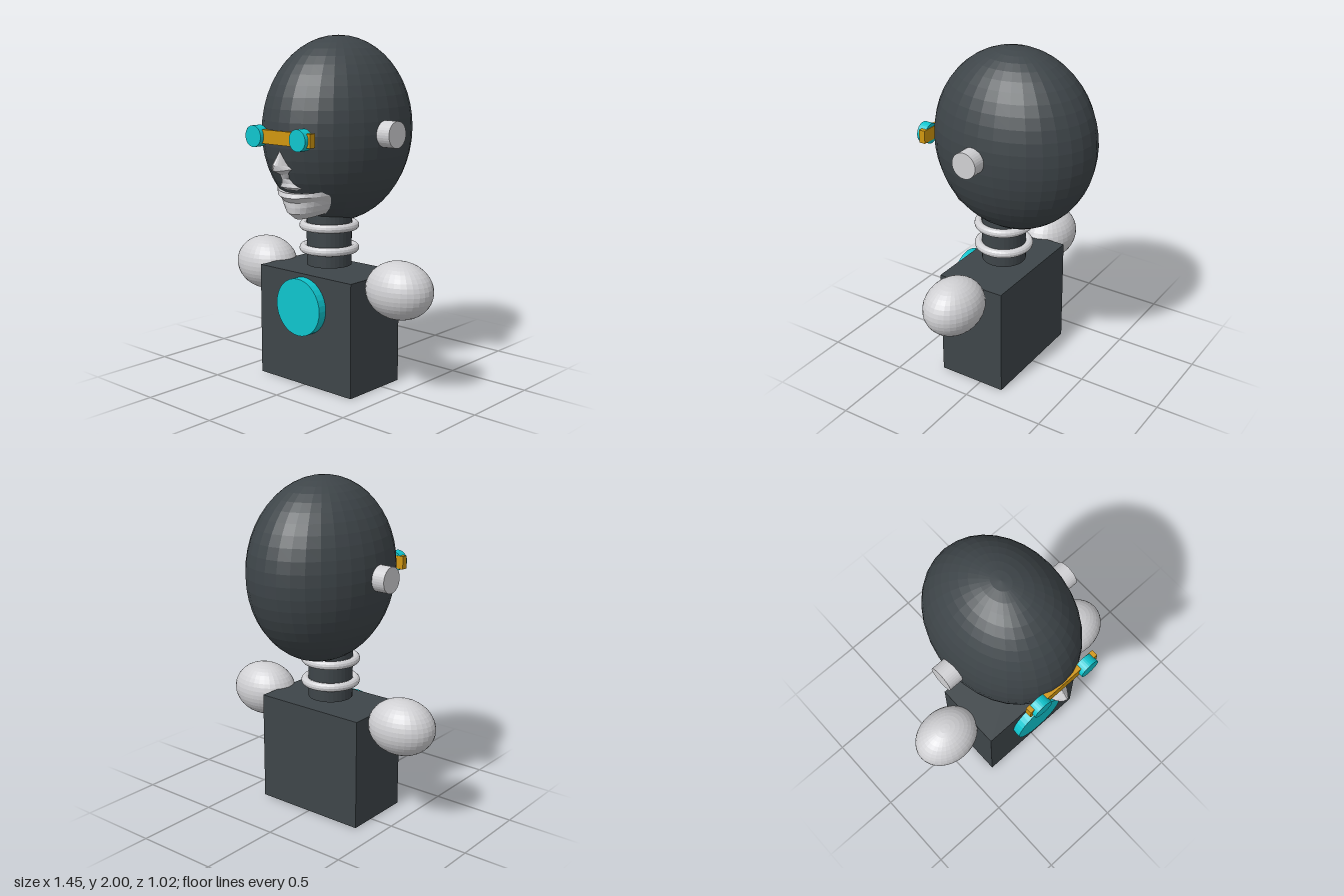
import * as THREE from 'three';

const mat = (name, color, extra = {}) => {
  const m = new THREE.MeshStandardMaterial({ color, flatShading: true, ...extra });
  m.name = name;
  return m;
};

// Curved relief patch: each row is [y, lift at the sides, half width, z at middle, z at sides]
function relief(rows, cols = 10) {
  const pos = [], index = [];
  rows.forEach(([y, lift, w, zMid, zSide], i) => {
    for (let j = 0; j <= cols; j++) {
      const u = (j / cols) * 2 - 1;
      pos.push(w * u, y + lift * u * u, zMid + (zSide - zMid) * u * u);
      if (i < rows.length - 1 && j < cols) {
        const a = i * (cols + 1) + j, b = a + cols + 1;
        index.push(a, b, b + 1, a, b + 1, a + 1);
      }
    }
  });
  const g = new THREE.BufferGeometry();
  g.setAttribute('position', new THREE.Float32BufferAttribute(pos, 3));
  g.setIndex(index);
  g.computeVertexNormals();
  return g;
}

export function createModel() {
  const model = new THREE.Group();
  const dark = mat('charcoal', 0x3e4549);
  const pale = mat('light grey', 0xd0d0d3);
  const skin = mat('light grey face', 0xd0d0d3, { side: THREE.DoubleSide });
  const cyan = mat('cyan', 0x0fc5ce);
  const amber = mat('amber', 0xd0960f);

  const add = (name, geo, material, x, y, z) => {
    const mesh = new THREE.Mesh(geo, material);
    mesh.name = name;
    mesh.position.set(x, y, z);
    model.add(mesh);
    return mesh;
  };
  const ellipsoid = (rx, ry, rz, w = 32, h = 20) =>
    new THREE.SphereGeometry(1, w, h).scale(rx, ry, rz);
  const disc = (r, depth) => new THREE.CylinderGeometry(r, r, depth, 32);

  // Torso and chest light
  add('torso', new THREE.BoxGeometry(0.706, 0.66, 0.422), dark, 0, 0.33, 0.06);
  add('chestLight', disc(0.167, 0.06).rotateX(Math.PI / 2), cyan, 0, 0.474, 0.295);

  // Neck with two rings
  add('neck', disc(0.131, 0.315), dark, 0, 0.842, 0.057);
  for (const y of [0.783, 0.917]) {
    add('neckRing', new THREE.TorusGeometry(0.149, 0.025, 12, 40).rotateX(Math.PI / 2), pale, 0, y, 0.057);
  }

  // Head
  add('head', ellipsoid(0.384, 0.533, 0.488, 32, 24), dark, 0, 1.467, -0.022);

  // Visor band
  add('visor', new THREE.BoxGeometry(0.48, 0.077, 0.038), amber, 0, 1.453, 0.452);

  // Mirrored parts
  for (const s of [-1, 1]) {
    add('shoulder', ellipsoid(0.205, 0.164, 0.164), pale, s * 0.52, 0.614, 0.054);
    add('ear', disc(0.075, 0.12).rotateZ(Math.PI / 2), pale, s * 0.4, 1.466, 0.01);
    add('eye', disc(0.06, 0.058).rotateX(Math.PI / 2), cyan, s * 0.168, 1.453, 0.466);
  }

  // Nose running down to the upper lip
  add('nose', relief([
    [1.385, -0.01, 0.008, 0.455, 0.44],
    [1.345, -0.01, 0.032, 0.482, 0.42],
    [1.307, -0.01, 0.05, 0.51, 0.41],
    [1.275, 0.01, 0.074, 0.502, 0.4],
    [1.25, 0.02, 0.05, 0.45, 0.39],
    [1.225, 0, 0.028, 0.437, 0.4],
    [1.2, -0.01, 0.06, 0.427, 0.37],
    [1.178, -0.01, 0.095, 0.428, 0.345],
    [1.16, 0, 0.085, 0.395, 0.33],
    [1.155, 0, 0.07, 0.33, 0.3],
  ]), skin, 0, 0, 0);

  // Lower lip, jaw and chin
  add('jaw', relief([
    [1.135, 0.02, 0.17, 0.3, 0.22],
    [1.14, 0.02, 0.208, 0.395, 0.265],
    [1.115, 0.02, 0.195, 0.408, 0.265],
    [1.085, 0.03, 0.19, 0.375, 0.25],
    [1.055, 0.03, 0.175, 0.375, 0.235],
    [1.02, 0.03, 0.15, 0.37, 0.22],
    [0.985, 0.03, 0.105, 0.325, 0.2],
    [1.005, 0.03, 0.09, 0.23, 0.16],
    [1.03, 0.02, 0.08, 0.18, 0.15],
  ], 12), skin, 0, 0, 0);

  return model;
}
